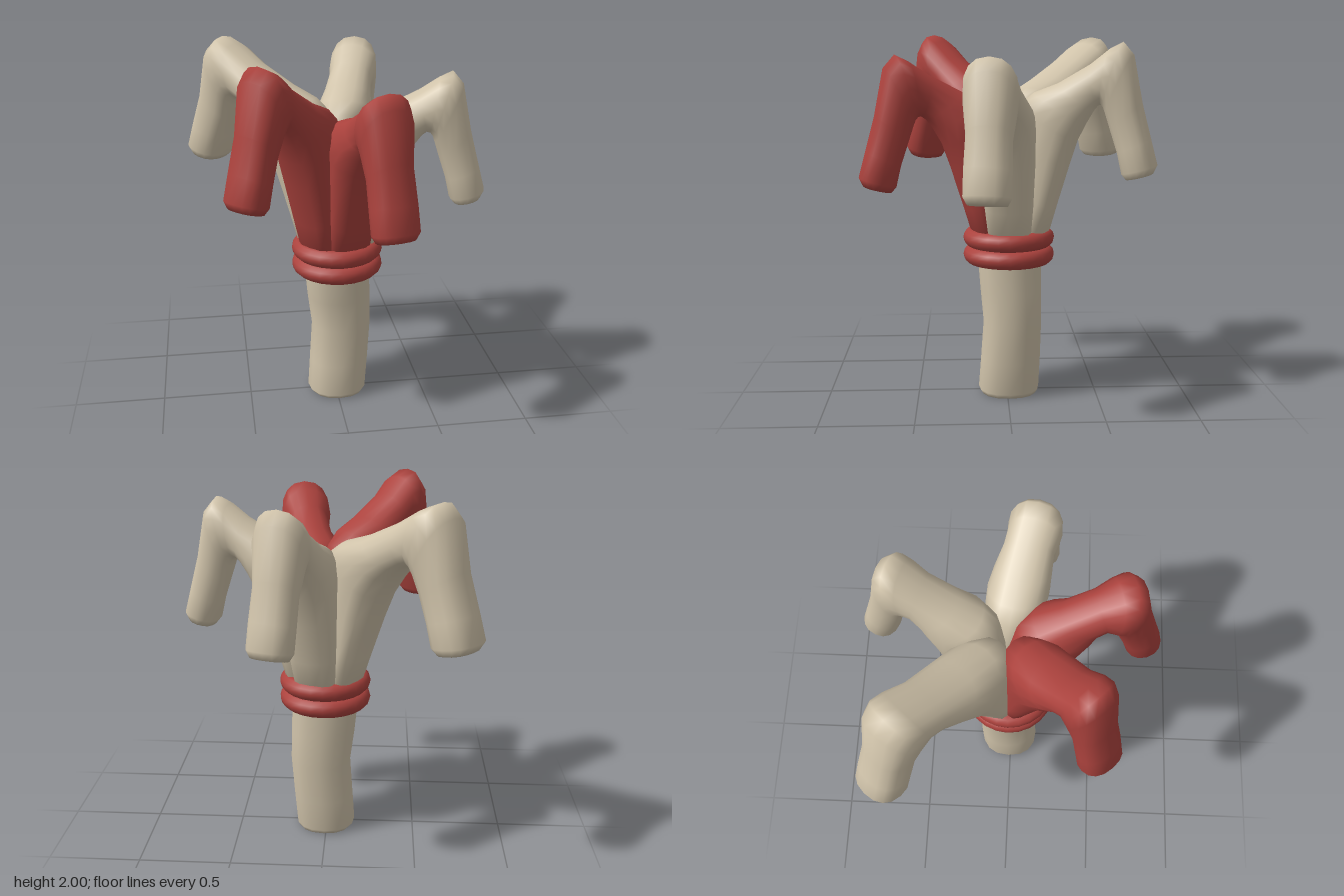
import * as THREE from 'three';

const SIDES = 16;

// Skin a list of point rings and close both ends with soft caps.
function loft(rings) {
  const pos = [], index = [];
  const add = (v) => { pos.push(v.x, v.y, v.z); return pos.length / 3 - 1; };
  rings.forEach((ring) => ring.forEach(add));
  for (let i = 0; i < rings.length - 1; i++) {
    for (let j = 0; j < SIDES; j++) {
      const k = (j + 1) % SIDES;
      const a = i * SIDES + j, b = i * SIDES + k, c = b + SIDES, d = a + SIDES;
      index.push(a, b, c, a, c, d);
    }
  }
  const cap = (row, flip) => {
    const centre = new THREE.Vector3();
    rings[row].forEach((v) => centre.addScaledVector(v, 1 / SIDES));
    const mid = add(centre);
    for (let j = 0; j < SIDES; j++) {
      const a = row * SIDES + j, b = row * SIDES + (j + 1) % SIDES;
      if (flip) index.push(b, a, mid); else index.push(a, b, mid);
    }
  };
  cap(0, true);
  cap(rings.length - 1, false);
  const g = new THREE.BufferGeometry();
  g.setAttribute('position', new THREE.Float32BufferAttribute(pos, 3));
  g.setIndex(index);
  g.computeVertexNormals();
  return g;
}

// Slightly squared oval around a centre; taper narrows the inner side.
function oval(centre, u, w, halfWidth, taper = 0) {
  const bend = (n) => Math.sign(n) * Math.pow(Math.abs(n), 0.86);
  return Array.from({ length: SIDES }, (_, j) => {
    const t = j / SIDES * Math.PI * 2;
    const c = bend(Math.cos(t)), s = bend(Math.sin(t));
    return centre.clone().addScaledVector(u, c)
      .addScaledVector(w, s * halfWidth * (1 - taper * (0.5 - c / 2)));
  });
}

// Arm profile: upper radius, upper y, lower radius, lower y, half width, taper
const ARM = [
  [0.00, 0.88, 0.20, 0.88, 0.145, 0.6],
  [0.00, 1.18, 0.255, 1.06, 0.17, 0.6],
  [0.01, 1.45, 0.325, 1.28, 0.185, 0.5],
  [0.05, 1.60, 0.37, 1.41, 0.185, 0.35],
  [0.13, 1.65, 0.42, 1.50, 0.175, 0.2],
  [0.26, 1.69, 0.455, 1.55, 0.155, 0.1],
  [0.43, 1.78, 0.475, 1.565, 0.13, 0],
  [0.53, 1.85, 0.49, 1.56, 0.135, 0],
  [0.60, 1.885, 0.505, 1.54, 0.14, 0],
  [0.655, 1.82, 0.515, 1.51, 0.135, 0],
  [0.705, 1.57, 0.54, 1.43, 0.115, 0],
  [0.755, 1.38, 0.58, 1.31, 0.12, 0],
  [0.79, 1.25, 0.605, 1.20, 0.12, 0],
  [0.77, 1.205, 0.63, 1.17, 0.1, 0],
];

// Bent arm: azimuth turns from base to knuckle to tip, stretched and lifted.
function armGeometry({ turn, stretch, lift, widen, waist }) {
  const [base, knuckle, tip] = turn.map(THREE.MathUtils.degToRad);
  return loft(ARM.map(([ri, yi, ro, yo, hw, taper], i) => {
    const t = Math.min(1, i / 7), f = Math.max(0, (i - 7) / 6);
    const a = base + (knuckle - base) * t + (tip - knuckle) * f;
    const s = 1 + (stretch - 1) * t;
    const pinch = 1 - waist * Math.max(0, 1 - Math.abs(i - 5.3) / 1.7);
    const at = (r, y) => new THREE.Vector3(
      Math.cos(a) * r * s + 0.01, y + lift * t, Math.sin(a) * r * s - 0.02);
    const inner = at(ri, yi), outer = at(ro, yo);
    const centre = inner.clone().add(outer).multiplyScalar(0.5);
    const w = new THREE.Vector3(Math.sin(a), 0, -Math.cos(a));
    const half = hw * pinch * (1 + (widen - 1) * t);
    return oval(centre, outer.sub(centre), w, half, taper);
  }));
}

export function createModel() {
  const model = new THREE.Group();
  const tan = new THREE.MeshStandardMaterial({ color: 0xd0c3aa });
  tan.name = 'tan';
  const red = new THREE.MeshStandardMaterial({ color: 0xab423d });
  red.name = 'red';
  const part = (name, geometry, material) => {
    const mesh = new THREE.Mesh(geometry, material);
    mesh.name = name;
    model.add(mesh);
    return mesh;
  };

  // Slightly bent stem: y, centre x, centre z, half width x, half width z
  const stem = [
    [0.0, 0.01, -0.01, 0.15, 0.155],
    [0.025, 0.007, -0.01, 0.167, 0.17],
    [0.2, 0.02, -0.02, 0.168, 0.167],
    [0.42, 0.035, -0.03, 0.168, 0.162],
    [0.6, 0.022, -0.022, 0.178, 0.17],
    [0.78, 0.01, -0.015, 0.183, 0.177],
    [0.94, 0.01, -0.015, 0.183, 0.177],
  ];
  part('stem', loft(stem.map(([y, x, z, rx, rz]) => oval(
    new THREE.Vector3(x, y, z), new THREE.Vector3(rx, 0, 0),
    new THREE.Vector3(0, 0, -1), rz))), tan);

  // Two wrapped bands
  [0.8, 0.895].forEach((y, i) => {
    const band = part(i ? 'upperBand' : 'lowerBand',
      new THREE.TorusGeometry(0.202, 0.05, 12, 24), red);
    band.rotation.x = Math.PI / 2;
    band.position.set(0.01, y, -0.01);
  });

  // Five bent arms spread around the top
  const arms = [
    { name: 'leftArm', turn: [5, 12.5, 11.5], stretch: 1.01, lift: 0, widen: 1, waist: 0, material: tan },
    { name: 'frontLeftArm', turn: [70, 75.5, 75.5], stretch: 1.05, lift: 0.005, widen: 1, waist: 0.25, material: red },
    { name: 'frontRightArm', turn: [141, 135.5, 137], stretch: 1.01, lift: 0.11, widen: 1, waist: 0, material: red },
    { name: 'backRightArm', turn: [214, 221.5, 221.5], stretch: 1.28, lift: 0.1, widen: 1.1, waist: 0, material: tan },
    { name: 'backLeftArm', turn: [288, 288, 288.5], stretch: 1.01, lift: 0.07, widen: 0.97, waist: 0.1, material: tan },
  ];
  arms.forEach((arm) => part(arm.name, armGeometry(arm), arm.material));

  return model;
}
